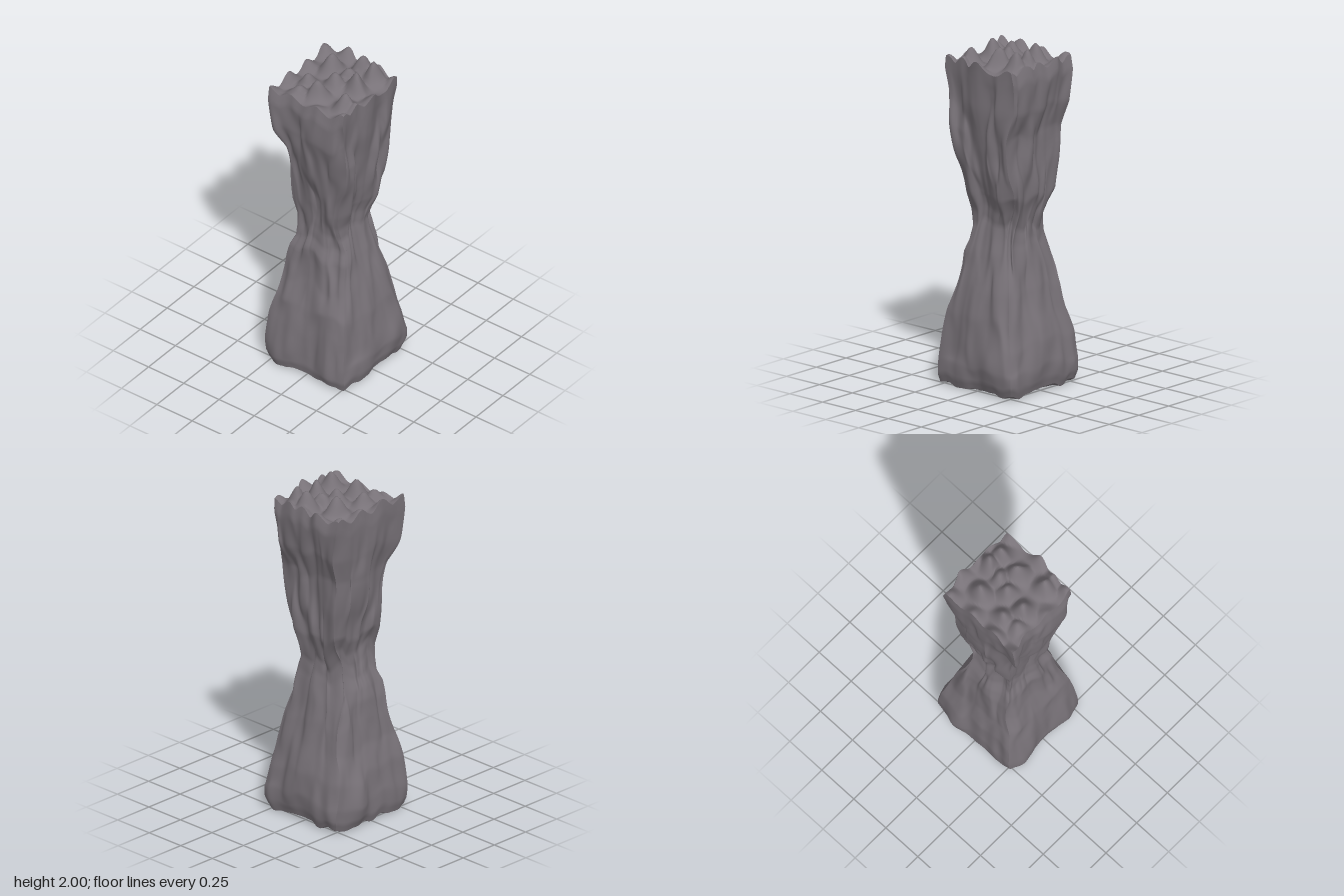
import * as THREE from 'three';

// Half-widths by height: [y, -x, +x, -z, +z]
const PROFILE = [
  [0.00, 0.270, 0.280, 0.270, 0.280],
  [0.05, 0.282, 0.292, 0.280, 0.288],
  [0.15, 0.285, 0.292, 0.282, 0.283],
  [0.30, 0.272, 0.277, 0.270, 0.272],
  [0.45, 0.240, 0.262, 0.242, 0.255],
  [0.60, 0.228, 0.234, 0.214, 0.213],
  [0.72, 0.212, 0.207, 0.182, 0.192],
  [0.80, 0.190, 0.192, 0.160, 0.183],
  [0.87, 0.162, 0.172, 0.143, 0.157],
  [0.95, 0.150, 0.150, 0.137, 0.153],
  [1.03, 0.152, 0.157, 0.162, 0.160],
  [1.12, 0.184, 0.184, 0.190, 0.177],
  [1.30, 0.198, 0.214, 0.205, 0.200],
  [1.50, 0.205, 0.234, 0.214, 0.234],
  [1.65, 0.230, 0.240, 0.250, 0.260],
  [1.80, 0.244, 0.248, 0.260, 0.266],
  [1.92, 0.240, 0.250, 0.236, 0.240],
];

// Ribs standing out from a side: [side, place across, height, depth, spread in y]
const RIBS = [
  [0, -0.42, 0.16, 0.042, 0.16], [0, 0.25, 0.20, 0.012, 0.30],
  [1, -0.42, 0.16, 0.035, 0.16], [1, 0.25, 0.30, 0.018, 0.25],
  [1, -0.90, 0.15, 0.020, 0.20],
  [2, -0.80, 0.15, 0.030, 0.20], [2, -0.33, 0.20, 0.018, 0.20],
  [2, 0.18, 0.20, 0.016, 0.20], [2, 0.85, 0.15, 0.030, 0.20],
  [3, -0.65, 0.14, 0.032, 0.20], [3, 0.60, 0.14, 0.032, 0.20],
  [0, -0.95, 1.92, 0.018, 0.15], [0, 0.90, 1.92, 0.015, 0.15],
  [1, 0.00, 1.92, 0.032, 0.12], [2, -0.40, 1.85, 0.030, 0.20],
  [2, 0.35, 1.85, 0.016, 0.15], [3, -0.95, 1.85, 0.028, 0.20],
];

// Spikes of the crown: [across, depth, height], places from -1 to 1
const SPIKES = [
  [-0.44, -0.40, 0.12], [0.20, -0.75, 0.13], [0.12, -0.35, 0.09], [0, 0, 0.10],
  [-0.50, 0.35, 0.09], [0.55, -0.70, 0.13], [0.45, -0.15, 0.13], [-0.08, 0.55, 0.12],
  [0.70, 0.50, 0.11], [-0.45, 0.75, 0.07], [-0.42, -1, 0.07], [0.10, -1, 0.06],
  [0.50, -1, 0.06], [-0.95, -0.90, 0.06], [1, -0.90, 0.05], [1, 0, 0.07],
  [0.95, 0.50, 0.07], [0.95, 0.95, 0.06], [-1, 1, 0.06], [-0.50, 1, 0.04],
  [0.25, 1, 0.04], [-0.95, -0.20, 0.06], [-1, 0.45, 0.07],
];

function halfWidth(side, y) {
  let i = 0;
  while (i < PROFILE.length - 2 && y > PROFILE[i + 1][0]) i++;
  const f = THREE.MathUtils.clamp((y - PROFILE[i][0]) / (PROFILE[i + 1][0] - PROFILE[i][0]), 0, 1);
  return THREE.MathUtils.lerp(PROFILE[i][side + 1], PROFILE[i + 1][side + 1], f);
}

const bell = (d, spread) => Math.exp(-((d / spread) ** 2));

function ribDepth(side, across, y) {
  let depth = 0;
  for (const [s, place, height, amount, spread] of RIBS) {
    if (s === side) depth += amount * bell(across - place, 0.25) * bell(y - height, spread);
  }
  return depth;
}

const spikeHeight = (u, w) =>
  Math.max(...SPIKES.map(([a, b, h]) => h * bell(Math.hypot(u - a, w - b), 0.21)));

// Seeded smooth noise in the range -1..1
function hash(x, y, z, seed) {
  let h = seed;
  for (const v of [x, y, z]) {
    h = Math.imul(h ^ (v + 1013), 0x9e3779b1);
    h = Math.imul(h ^ (h >>> 15), 0x85ebca6b);
    h ^= h >>> 13;
  }
  return (h >>> 0) / 2147483648 - 1;
}

function noise(x, y, z, seed) {
  const c = [x, y, z].map(Math.floor);
  const [u, v, w] = [x, y, z].map((a, i) => THREE.MathUtils.smootherstep(a - c[i], 0, 1));
  let sum = 0;
  for (let n = 0; n < 8; n++) {
    const i = n & 1, j = (n >> 1) & 1, k = n >> 2;
    sum += hash(c[0] + i, c[1] + j, c[2] + k, seed)
      * (i ? u : 1 - u) * (j ? v : 1 - v) * (k ? w : 1 - w);
  }
  return sum;
}

export function createModel() {
  const H = 1.87;
  const geometry = new THREE.BoxGeometry(2, H, 2, 44, 110, 44);
  const pos = geometry.attributes.position;

  for (let n = 0; n < pos.count; n++) {
    const u = pos.getX(n), w = pos.getZ(n), y = pos.getY(n) + H / 2;
    const crown = THREE.MathUtils.smoothstep(y, H - 0.22, H);
    const foot = 1 - THREE.MathUtils.smoothstep(y, 0, 0.2);

    // Square section pinched at the waist, corners eased below the crown
    const sx = u < 0 ? 0 : 1, sz = w < 0 ? 2 : 3;
    const ease = 1 - 0.04 * (1 - crown) * (u * w) ** 4;
    const x = u * ease * (halfWidth(sx, y) + ribDepth(sx, w, y));
    const z = w * ease * (halfWidth(sz, y) + ribDepth(sz, u, y));

    // Tall folds, strongest around and above the waist
    const calm = (1 - 0.7 * Math.max(foot, crown)) * (0.6 + 0.4 * THREE.MathUtils.smoothstep(y, 0.5, 0.9));
    const fold = (seed) => calm * (0.024 * noise(u * 3, y * 3.5, w * 3, seed)
      + 0.012 * noise(u * 5.5, y * 6, w * 5.5, seed + 5));

    // Spiked crown, sagging folds along the middle, uneven rim at the foot
    const rim = Math.max(Math.abs(u), Math.abs(w)) ** 6;
    const lift = crown * spikeHeight(u, w)
      + (1 - crown) * (1 - foot) * 0.04 * noise(u * 3, y * 3, w * 3, 27)
      + foot * rim * 0.016 * (1 + noise(u * 4, 0, w * 4, 33));

    pos.setXYZ(n, x + fold(3), y + lift, z + fold(14));
  }

  // Stand on the ground, centred
  geometry.computeBoundingBox();
  const b = geometry.boundingBox;
  geometry.translate(-(b.min.x + b.max.x) / 2, -b.min.y, -(b.min.z + b.max.z) / 2);
  geometry.computeVertexNormals();

  const column = new THREE.Mesh(geometry, new THREE.MeshStandardMaterial({ color: 0x787278 }));
  column.name = 'rockPillar';
  const group = new THREE.Group();
  group.name = 'rockColumn';
  group.add(column);
  return group;
}
